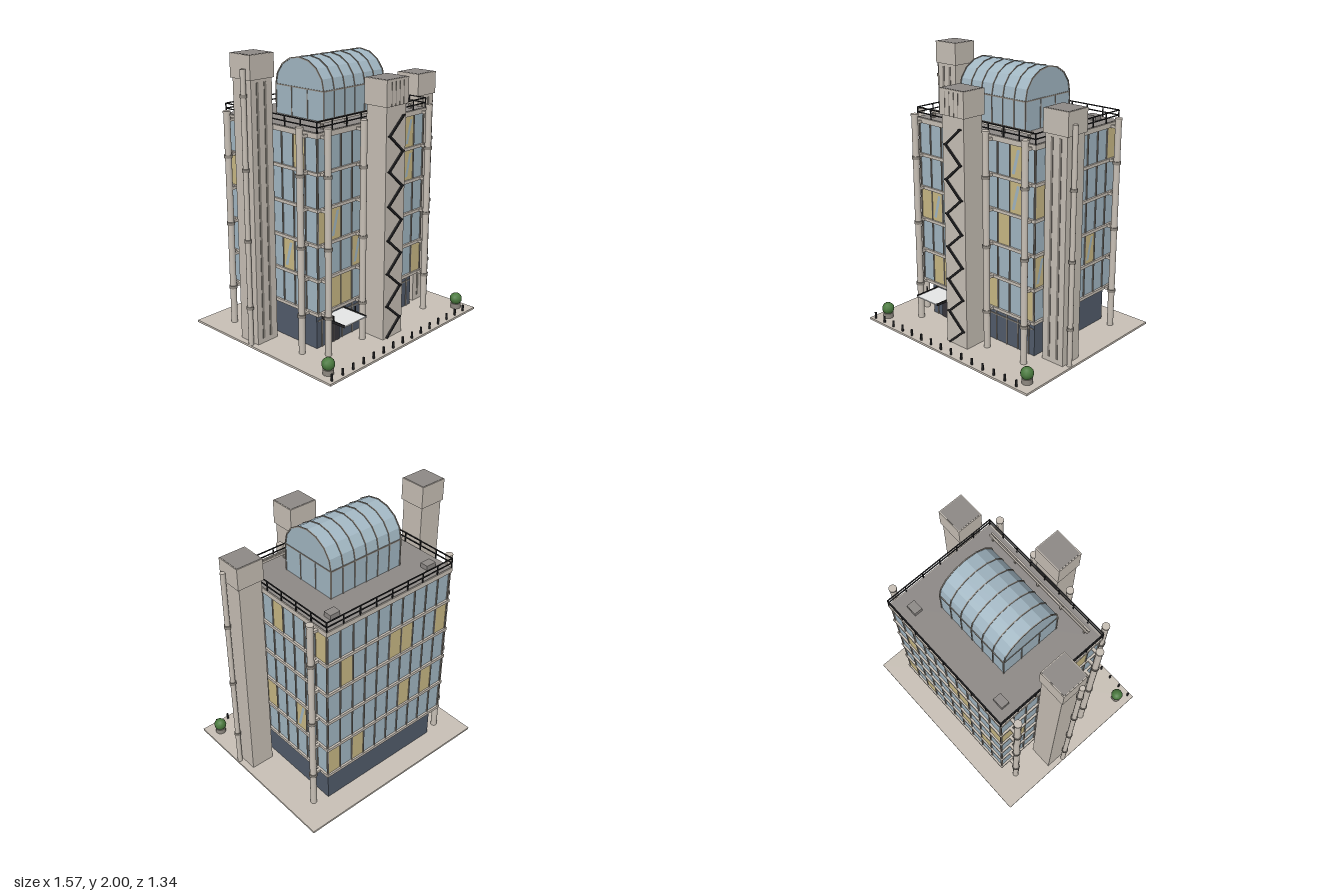
import * as THREE from 'three';

const mat = (name, color) => {
  const m = new THREE.MeshStandardMaterial({ color });
  m.name = name;
  return m;
};

export function createModel() {
  const stone = mat('stone', 0xc8c0b6), deck = mat('deck', 0x8d8986), glass = mat('glass', 0xa2b7c3);
  const lit = mat('litWindow', 0xc9b985), navy = mat('navyGlass', 0x525c6b), black = mat('blackMetal', 0x222224);
  const leaf = mat('leaf', 0x4a7a3e), frame = mat('frame', 0x8f8981), door = mat('door', 0x38363c);
  const pale = mat('paleGlass', 0xeceeee);
  const root = new THREE.Group();

  const add = (name, geo, m, x, y, z, parent = root) => {
    const mesh = new THREE.Mesh(geo, m);
    mesh.name = name;
    mesh.position.set(x, y, z);
    parent.add(mesh);
    return mesh;
  };
  const box = (name, w, h, d, m, x, y, z, parent) => add(name, new THREE.BoxGeometry(w, h, d), m, x, y, z, parent);
  // box given by its min and max corners
  const span = (name, m, x0, x1, y0, y1, z0, z1, parent) =>
    box(name, x1 - x0, y1 - y0, z1 - z0, m, (x0 + x1) / 2, (y0 + y1) / 2, (z0 + z1) / 2, parent);
  const rod = (name, r, y0, y1, m, x, z, sides = 16) =>
    add(name, new THREE.CylinderGeometry(r, r, y1 - y0, sides), m, x, (y0 + y1) / 2, z);

  // Plaza and main block
  span('plaza', stone, -0.78, 0.78, 0, 0.015, -0.67, 0.665);
  span('groundFloor', navy, -0.5, 0.5, 0.015, 0.29, -0.495, 0.27);
  span('glassBlock', glass, -0.535, 0.535, 0.29, 1.5, -0.535, 0.32);
  const floorY = i => 0.295 + 0.242 * i;
  for (let i = 0; i < 5; i++) span('floorSlab', stone, -0.55, 0.55, floorY(i) - 0.011, floorY(i) + 0.011, -0.55, 0.335);
  span('roofSlab', stone, -0.55, 0.55, 1.495, 1.53, -0.55, 0.335);
  span('roofDeck', deck, -0.543, 0.543, 1.53, 1.534, -0.543, 0.328);

  // Facades: lit panes as [floor, panel], streaks are slanted reflections on a pane
  const facades = [
    { name: 'front', rot: 0, x: 0, z: 0.32, n: 10,
      lit: [[0, 1], [0, 2], [0, 6], [0, 9], [1, 3], [2, 0], [2, 1], [2, 7], [3, 8], [4, 8]],
      streak: [[1, 3], [2, 1], [3, 8], [4, 8]] },
    { name: 'right', rot: Math.PI / 2, x: 0.535, z: -0.1075, n: 8,
      lit: [[1, 0], [1, 2], [1, 5], [3, 0], [4, 3], [4, 7]], streak: [[1, 0], [1, 5]] },
    { name: 'back', rot: Math.PI, x: 0, z: -0.535, n: 10,
      lit: [[0, 0], [0, 2], [1, 6], [1, 8], [3, 1], [3, 5], [3, 6], [3, 9]], streak: [] },
    { name: 'left', rot: -Math.PI / 2, x: -0.535, z: -0.1075, n: 8,
      lit: [[2, 1], [3, 0], [1, 5], [4, 6]], streak: [[1, 5]] },
  ];
  const streakShape = new THREE.Shape([[-0.035, -0.085], [-0.01, -0.085], [0.035, 0.085], [0.01, 0.085]]
    .map(p => new THREE.Vector2(...p)));
  for (const f of facades) {
    const g = new THREE.Group();
    g.name = f.name + 'Facade';
    g.position.set(f.x, 0, f.z);
    g.rotation.y = f.rot;
    root.add(g);
    const pw = 0.107, u = i => (i - f.n / 2) * pw;
    for (let i = 0; i <= f.n; i++) box('mullion', 0.008, 1.2, 0.01, frame, u(i), 0.9, 0.003, g);
    for (const [fl, p] of f.lit) box('litPane', pw, 0.22, 0.004, lit, u(p + 0.5), floorY(fl + 0.5), 0.001, g);
    for (const [fl, p] of f.streak) add('reflection', new THREE.ShapeGeometry(streakShape), glass, u(p + 0.5), floorY(fl + 0.5), 0.0045, g);
  }

  // Entrance front
  for (const x of [-0.45, -0.35, -0.25, -0.15, 0.15, 0.25, 0.35, 0.45]) box('shopMullion', 0.008, 0.27, 0.008, frame, x, 0.15, 0.272);
  box('shopRail', 0.98, 0.008, 0.008, frame, 0, 0.215, 0.272);
  span('entranceDoor', door, -0.4, -0.285, 0.015, 0.19, 0.268, 0.278);
  box('doorSplit', 0.005, 0.17, 0.004, frame, -0.342, 0.1, 0.279);
  span('canopy', pale, -0.45, -0.235, 0.225, 0.233, 0.27, 0.48);
  for (const x of [-0.45, -0.237]) {
    span('canopyBeam', black, x - 0.004, x + 0.004, 0.222, 0.24, 0.27, 0.48);
    box('canopyHanger', 0.006, 0.045, 0.006, black, x, 0.255, 0.38);
  }

  // Service towers with wider heads
  const tower = (name, x0, x1, z0, z1, capY, top) => {
    span(name + 'Shaft', stone, x0 + 0.012, x1 - 0.012, 0.015, capY, z0 + 0.01, z1 - 0.01);
    span(name + 'Head', stone, x0, x1, capY, top, z0, z1);
    span(name + 'HeadTop', deck, x0 + 0.006, x1 - 0.006, top - 0.002, top + 0.002, z0 + 0.006, z1 - 0.006);
  };
  tower('leftTower', -0.75, -0.548, -0.24, -0.048, 1.84, 1.998);
  tower('rightTower', 0.545, 0.745, 0.07, 0.262, 1.6, 1.758);
  tower('frontTower', -0.11, 0.11, 0.335, 0.525, 1.655, 1.83);
  for (const x of [-0.685, -0.62]) box('shaftGroove', 0.018, 1.77, 0.006, frame, x, 0.935, -0.057);
  for (const x of [0.612, 0.68]) box('shaftGroove', 0.018, 1.53, 0.006, frame, x, 0.815, 0.253);
  for (const x of [-0.06, -0.02, 0.02, 0.06]) box('headGroove', 0.004, 0.16, 0.003, frame, x, 1.735, 0.5255);

  // Zigzag stair on the front tower
  const step = 0.12, run = 0.135;
  for (let i = 0; i < 13; i++) {
    const s = i % 2 ? -1 : 1;
    const flight = box('stairFlight', Math.hypot(run, step), 0.014, 0.012, black, 0, 0.02 + step * (i + 0.5), 0.521);
    flight.rotation.z = s * Math.atan2(step, run);
    box('stairLanding', 0.025, 0.008, 0.012, black, s * 0.068, 0.02 + step * (i + 1), 0.521);
  }

  // Service pipes with collars and brackets to the slabs
  const pipe = (x, z, r, top) => {
    rod('pipe', r, 0.015, top, stone, x, z);
    for (const y of [0.29, 0.77, 1.255, 1.74]) if (y < top) rod('pipeCollar', r + 0.006, y - 0.011, y + 0.011, frame, x, z);
  };
  for (const [x, z] of [[-0.51, 0.39], [-0.175, 0.39], [0.17, 0.39], [0.51, 0.39], [-0.61, -0.46], [0.605, -0.46], [-0.61, 0.24]]) {
    pipe(x, z, 0.023, 1.565);
    rod('pipeCap', 0.027, 1.555, 1.57, stone, x, z);
    for (let i = 0; i < 6; i++) {
      const y = floorY(i);
      if (z > 0.3) span('bracket', stone, x - 0.01, x + 0.01, y - 0.01, y + 0.01, 0.33, z);
      else span('bracket', stone, Math.min(x, Math.sign(x) * 0.545), Math.max(x, Math.sign(x) * 0.545), y - 0.01, y + 0.01, z - 0.01, z + 0.01);
    }
  }
  pipe(-0.765, -0.1, 0.018, 1.91);
  pipe(0.76, 0.21, 0.018, 1.675);

  // Roof railing
  const rx = 0.545, zb = -0.545, zf = 0.33, zc = (zb + zf) / 2, t = 0.007;
  for (const y of [1.567, 1.602]) {
    for (const z of [zb, zf]) box('handrail', 2 * rx, t, t, black, 0, y, z);
    for (const x of [-rx, rx]) box('handrail', t, t, zf - zb, black, x, y, zc);
  }
  for (let i = 0; i <= 8; i++) for (const z of [zb, zf]) box('railPost', t, 0.072, t, black, -rx + i * rx / 4, 1.566, z);
  for (let i = 1; i < 6; i++) for (const x of [-rx, rx]) box('railPost', t, 0.072, t, black, x, 1.566, zb + i * (zf - zb) / 6);

  // Roof plant: twin front rails and two hatches
  for (const z of [0.264, 0.282]) box('roofRail', 0.94, 0.016, 0.01, stone, 0, 1.58, z);
  for (const x of [-0.44, -0.22, 0, 0.22, 0.44]) box('roofRailFoot', 0.012, 0.042, 0.024, frame, x, 1.553, 0.273);
  for (const x of [-0.43, 0.41]) box('roofHatch', 0.08, 0.035, 0.06, deck, x, 1.55, -0.438);

  // Barrel-vaulted glass hall
  const arch = o => {
    const pts = [new THREE.Vector2(0.225 + o, 1.53)];
    for (let i = 0; i <= 8; i++) {
      const a = i * Math.PI / 8;
      pts.push(new THREE.Vector2(Math.cos(a) * (0.225 + o), 1.735 + Math.sin(a) * (0.202 + o)));
    }
    pts.push(new THREE.Vector2(-0.225 - o, 1.53));
    return pts;
  };
  const extrudeX = (shape, len) =>
    new THREE.ExtrudeGeometry(shape, { depth: len, bevelEnabled: false }).translate(0, 0, -len / 2).rotateY(Math.PI / 2);
  add('glassVault', extrudeX(new THREE.Shape(arch(0)), 0.6), glass, 0, 0, -0.075);
  const ribShape = new THREE.Shape(arch(0.005));
  ribShape.holes.push(new THREE.Path(arch(-0.004)));
  const ribGeo = extrudeX(ribShape, 0.007);
  for (let i = 0; i <= 6; i++) add('vaultRib', ribGeo, frame, -0.3 + i * 0.1, 0, -0.075);
  for (const z of [-0.3, 0.15]) box('vaultSill', 0.6, 0.009, 0.009, frame, 0, 1.735, z);
  for (const x of [-0.3, 0.3]) {
    box('gableSill', 0.008, 0.008, 0.45, frame, x, 1.735, -0.075);
    for (const z of [-0.15, 0]) box('gableMullion', 0.008, 0.2, 0.007, frame, x, 1.633, z);
  }

  // Bollards and planted tubs
  for (let i = 0; i < 15; i++) rod('bollard', 0.008, 0.015, 0.062, black, -0.74 + i * 0.1007, 0.64, 8);
  for (const x of [-0.69, 0.69]) {
    rod('planter', 0.038, 0.015, 0.052, frame, x, 0.56, 12);
    add('shrub', new THREE.IcosahedronGeometry(0.046, 1), leaf, x, 0.085, 0.56);
  }
  return root;
}
